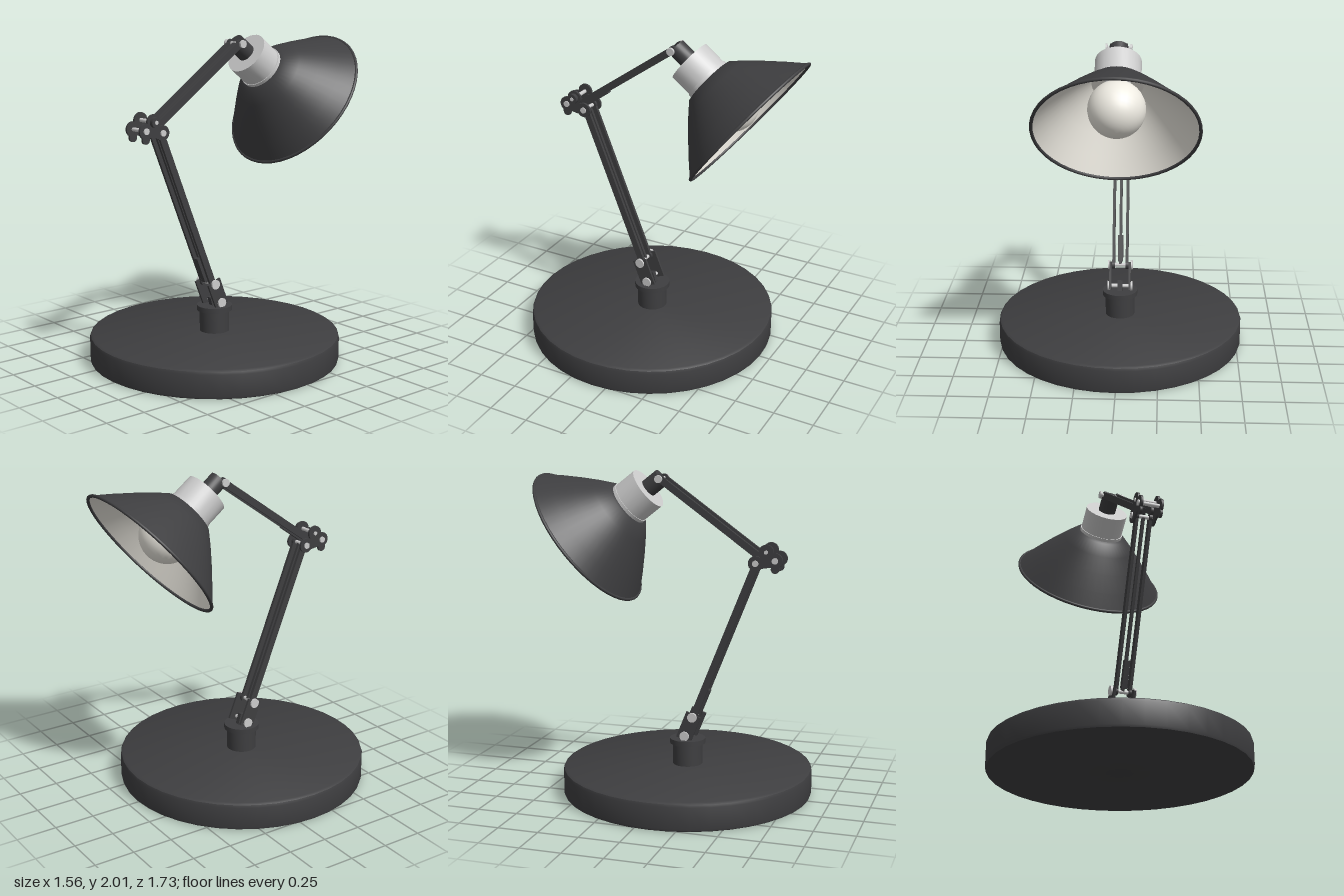
import * as THREE from 'three';
import { toCreasedNormals } from 'three/addons/utils/BufferGeometryUtils.js';

const dark = new THREE.MeshStandardMaterial({ color: 0x3e3e40 });
const metal = new THREE.MeshStandardMaterial({ color: 0xcccccc });
const white = new THREE.MeshStandardMaterial({ color: 0xeeebe2 });

function add(parent, name, geometry, material, x = 0, y = 0, z = 0) {
  const mesh = new THREE.Mesh(geometry, material);
  mesh.name = name;
  mesh.position.set(x, y, z);
  parent.add(mesh);
  return mesh;
}

function lathe(points, segments = 40, crease = 0.7) {
  const g = new THREE.LatheGeometry(points.map(([r, y]) => new THREE.Vector2(r, y)), segments);
  return toCreasedNormals(g, crease);
}

// Disc or rod lying along x, at p = [y, z]
function rod(parent, name, material, p, radius, x0, x1, sides = 20) {
  const g = new THREE.CylinderGeometry(radius, radius, x1 - x0, sides);
  g.rotateZ(Math.PI / 2);
  return add(parent, name, g, material, (x0 + x1) / 2, p[0], p[1]);
}

// Straight bar in the y-z plane from a to b, at sideways position x
function bar(parent, name, a, b, x, thick, width, material = dark) {
  const dy = b[0] - a[0], dz = b[1] - a[1];
  const g = new THREE.BoxGeometry(thick, width, Math.hypot(dy, dz));
  const mesh = add(parent, name, g, material, x, (a[0] + b[0]) / 2, (a[1] + b[1]) / 2);
  mesh.rotation.x = Math.atan2(-dy, dz);
  return mesh;
}

// Pin with a head at both ends
function pin(parent, p, head, reach) {
  rod(parent, 'pin', metal, p, 0.012, -reach, reach);
  for (const s of [-1, 1]) rod(parent, 'pinHead', metal, p, head, s * reach - 0.007, s * reach + 0.007);
}

// Two side bars, a thin middle rod and a thicker sleeve near the start
function arm(name, a, b, side) {
  const group = new THREE.Group();
  group.name = name;
  const len = Math.hypot(b[0] - a[0], b[1] - a[1]);
  const at = (d, off) => [
    a[0] + (b[0] - a[0]) * d / len + side * off * (b[1] - a[1]) / len,
    a[1] + (b[1] - a[1]) * d / len - side * off * (b[0] - a[0]) / len,
  ];
  for (const s of [-1, 1]) {
    bar(group, 'sideBar', a, b, s * 0.043, 0.018, 0.042);
    for (const end of [a, b]) rod(group, 'barEnd', dark, end, 0.026, s * 0.043 - 0.009, s * 0.043 + 0.009);
  }
  bar(group, 'middleRod', a, b, 0, 0.018, 0.022);
  bar(group, 'sleeve', at(0.02, 0.014), at(0.19, 0.014), 0, 0.034, 0.034);
  return group;
}

export function createModel() {
  const lamp = new THREE.Group();
  lamp.name = 'deskLamp';
  const baseZ = 0.09;

  // Heavy round base, post and collar
  add(lamp, 'base', lathe([[0, 0], [0.765, 0], [0.776, 0.006], [0.78, 0.02], [0.78, 0.15],
    [0.775, 0.166], [0.76, 0.175], [0, 0.175]], 40), dark, 0, 0, baseZ);
  add(lamp, 'post', lathe([[0.093, 0.17], [0.093, 0.308], [0.111, 0.308], [0.111, 0.34], [0, 0.34]], 32),
    dark, 0, 0, baseZ);

  // Joint positions as [y, z]
  const foot = [0.365, 0.09], hip = [0.49, 0.14];
  const elbowLow = [1.47, 0.53], elbowTop = [1.54, 0.595], elbowBack = [1.49, 0.65];
  const wrist = [1.957, -0.077];

  // Foot bracket
  const bracket = new THREE.Group();
  bracket.name = 'footBracket';
  for (const s of [-1, 1]) bar(bracket, 'bracketPlate', [0.342, 0.081], [0.507, 0.147], s * 0.062, 0.014, 0.098);
  bar(bracket, 'bracketTongue', [0.33, 0.085], [0.4, 0.105], 0, 0.03, 0.06);
  pin(bracket, foot, 0.03, 0.073);
  pin(bracket, hip, 0.03, 0.073);
  lamp.add(bracket);

  lamp.add(arm('lowerArm', hip, elbowLow, -1));
  lamp.add(arm('upperArm', [1.505, 0.555], wrist, 1));

  // Elbow: lobed plates, pins and a clamping knob
  const elbow = new THREE.Group();
  elbow.name = 'elbow';
  for (const s of [-1, 1]) {
    const x = s * 0.064;
    for (const p of [elbowLow, elbowTop, elbowBack]) rod(elbow, 'plateLobe', dark, p, 0.046, x - 0.007, x + 0.007, 24);
    rod(elbow, 'plateLobe', dark, [1.44, 0.65], 0.026, x - 0.007, x + 0.007);
    bar(elbow, 'plateWeb', elbowLow, elbowBack, x, 0.014, 0.07);
    bar(elbow, 'plateWeb', elbowTop, [1.48, 0.59], x, 0.014, 0.07);
    bar(elbow, 'plateWeb', elbowBack, [1.44, 0.65], x, 0.014, 0.05);
  }
  pin(elbow, elbowLow, 0.019, 0.072);
  pin(elbow, elbowBack, 0.019, 0.072);
  rod(elbow, 'clampBolt', metal, elbowTop, 0.012, -0.078, 0.101);
  rod(elbow, 'clampKnob', dark, elbowTop, 0.032, 0.074, 0.098, 12);
  lamp.add(elbow);

  // Wrist pin
  const wristJoint = new THREE.Group();
  wristJoint.name = 'wristJoint';
  pin(wristJoint, wrist, 0.024, 0.073);
  lamp.add(wristJoint);

  // Head: local y runs from the shade mouth up to the stem
  const head = new THREE.Group();
  head.name = 'head';
  head.position.set(0, 1.585, -0.56);
  head.rotation.x = Math.atan2(0.787, 0.617);
  lamp.add(head);
  add(head, 'shade', lathe([[0.482, 0], [0.405, 0.09], [0.318, 0.185], [0.235, 0.27], [0.165, 0.335], [0.13, 0.342]], 48),
    dark);
  add(head, 'shadeLining', lathe([[0, 0.33], [0.15, 0.33], [0.226, 0.264], [0.309, 0.179], [0.396, 0.084], [0.474, 0]], 48),
    white);
  const rim = new THREE.TorusGeometry(0.478, 0.01, 10, 48);
  rim.rotateX(Math.PI / 2);
  add(head, 'shadeRim', rim, dark);
  add(head, 'cap', lathe([[0.142, 0.33], [0.142, 0.36], [0.137, 0.36], [0.137, 0.502], [0, 0.502]], 32), metal);
  add(head, 'stem', lathe([[0.056, 0.49], [0.056, 0.612], [0, 0.612]], 24), dark);

  // Bulb with its socket
  add(head, 'bulb', new THREE.SphereGeometry(0.168, 32, 20), white, 0, 0.155, 0);
  add(head, 'bulbSocket', new THREE.CylinderGeometry(0.08, 0.08, 0.08, 24), metal, 0, 0.31, 0);

  return lamp;
}
